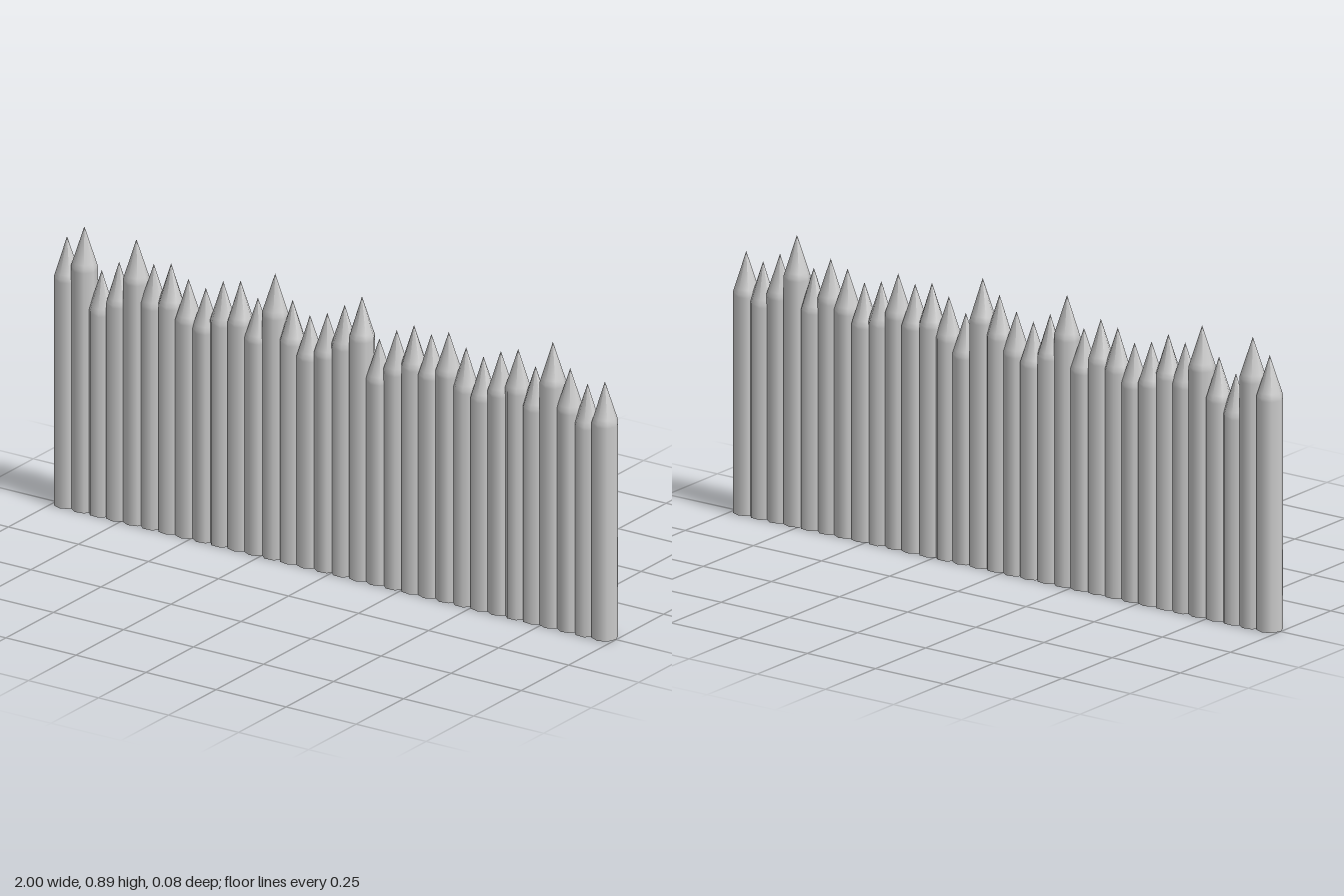
import * as THREE from 'three';

const SIDES = 8, RADIUS = 0.04, POINT = 0.125;

// Tip height of each stake, from the right end (-x) to the left end (+x)
const TIPS = [
  0.85, 0.895, 0.77, 0.81, 0.895, 0.83, 0.845, 0.81,
  0.795, 0.83, 0.845, 0.805, 0.895, 0.825, 0.79, 0.81,
  0.85, 0.89, 0.77, 0.81, 0.84, 0.825, 0.845, 0.81,
  0.795, 0.825, 0.845, 0.805, 0.895, 0.825, 0.79, 0.81,
];

const material = new THREE.MeshStandardMaterial({ color: 0xcccccc });

// One sharpened log: a shaft running into a point, closed by a flat base
function createStake(tip) {
  const stake = new THREE.Group();
  stake.name = 'stake';

  const profile = [
    new THREE.Vector2(RADIUS, 0),
    new THREE.Vector2(RADIUS, tip - POINT - 0.01),
    new THREE.Vector2(RADIUS, tip - POINT),
    new THREE.Vector2(RADIUS * 0.9, tip - POINT * 0.9),
    new THREE.Vector2(0, tip),
  ];
  const shaft = new THREE.Mesh(new THREE.LatheGeometry(profile, SIDES), material);
  shaft.name = 'sharpenedShaft';

  const base = new THREE.Mesh(new THREE.CircleGeometry(RADIUS, SIDES), material);
  base.name = 'stakeBase';
  base.rotation.set(Math.PI / 2, 0, Math.PI / 2);

  stake.add(shaft, base);
  return stake;
}

export function createModel() {
  const palisade = new THREE.Group();
  palisade.name = 'palisade';

  // Overlapping row, each log turned a little differently about its axis
  const last = TIPS.length - 1;
  const reach = 1 - RADIUS;
  TIPS.forEach((tip, i) => {
    const stake = createStake(tip);
    stake.position.x = -reach + (2 * reach * i) / last;
    stake.rotation.y = i === 0 || i === last ? 0 : ((i * 5) % 7) * 0.11;
    palisade.add(stake);
  });
  return palisade;
}
